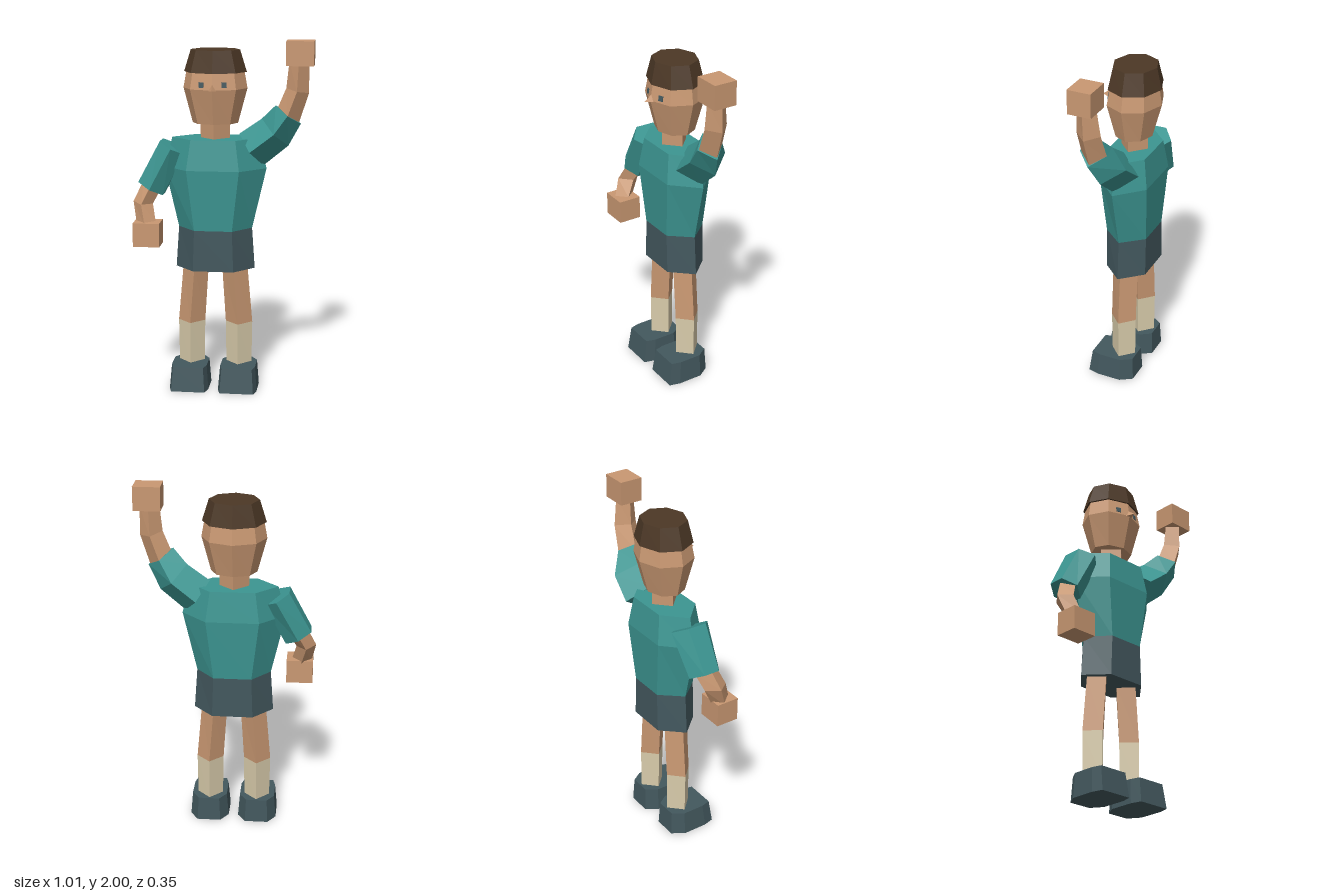
import * as THREE from 'three';
import { ConvexGeometry } from 'three/addons/geometries/ConvexGeometry.js';

// Unit cross-sections, as [across, depth] going from +x towards +z
const DIAMOND = [[1, 0], [0, 1], [-1, 0], [0, -1]];
const HEXAGON = [[1, 0], [0.51, 1], [-0.51, 1], [-1, 0], [-0.51, -1], [0.51, -1]];
const SLEEVE = [[1, 0.48], [0, 1], [-1, 0.48], [-1, -0.48], [0, -1], [1, -0.48]];
const SHOE = [[1, 0.55], [0.86, 1], [-0.86, 1], [-1, 0.55], [-1, -0.5], [-0.6, -1], [0.6, -1], [1, -0.5]];
const OCTAGON = Array.from({ length: 8 }, (_, i) => [Math.cos(i * Math.PI / 4), Math.sin(i * Math.PI / 4)]);

// Capped loft through stations [x, y, z, halfWidth, halfDepth];
// with bend, the rings turn to follow the path in the xy plane
function loft(profile, stations, bend = false) {
  const rings = stations.map(([x, y, z, w, d], i) => {
    const a = stations[Math.max(i - 1, 0)], b = stations[Math.min(i + 1, stations.length - 1)];
    const t = bend ? new THREE.Vector2(b[0] - a[0], b[1] - a[1]).normalize() : new THREE.Vector2(0, 1);
    return profile.map(([u, v]) => new THREE.Vector3(x + u * w * t.y, y - u * w * t.x, z + v * d));
  });
  const n = profile.length, pts = [];
  for (let r = 0; r < rings.length - 1; r++) {
    for (let i = 0; i < n; i++) {
      const j = (i + 1) % n;
      const a = rings[r][i], b = rings[r][j], c = rings[r + 1][j], d = rings[r + 1][i];
      pts.push(a, d, c, a, c, b);
    }
  }
  const first = rings[0], last = rings[rings.length - 1];
  for (let i = 1; i < n - 1; i++) {
    pts.push(first[0], first[i], first[i + 1], last[0], last[i + 1], last[i]);
  }
  const geometry = new THREE.BufferGeometry().setFromPoints(pts);
  geometry.computeVertexNormals();
  return geometry;
}

function material(name, color) {
  const m = new THREE.MeshStandardMaterial({ color, flatShading: true });
  m.name = name;
  return m;
}

export function createModel() {
  const skin = material('skin', 0xc99872);
  const teal = material('teal shirt', 0x3c9591);
  const slate = material('slate cloth', 0x43585e);
  const brown = material('brown hair', 0x4c3826);
  const cream = material('cream sock', 0xd9ccab);

  const model = new THREE.Group();
  model.name = 'wavingFigure';
  const body = new THREE.Group();
  body.name = 'body';
  body.position.x = -0.047;
  model.add(body);

  const add = (parent, name, geometry, mat) => {
    const mesh = new THREE.Mesh(geometry, mat);
    mesh.name = name;
    parent.add(mesh);
    return mesh;
  };

  // Head and hair
  add(body, 'head', loft(OCTAGON, [
    [0, 1.535, -0.018, 0.128, 0.105],
    [0, 1.73, -0.02, 0.18, 0.157],
    [0, 1.83, -0.022, 0.162, 0.14],
  ]), skin);
  add(body, 'hair', loft(OCTAGON, [
    [0, 1.82, -0.022, 0.176, 0.152],
    [0, 1.943, -0.022, 0.138, 0.125],
  ]), brown);
  add(body, 'nose', new ConvexGeometry([
    new THREE.Vector3(0, 1.772, 0.12),
    new THREE.Vector3(-0.025, 1.725, 0.12),
    new THREE.Vector3(0.025, 1.725, 0.12),
    new THREE.Vector3(0, 1.73, 0.174),
  ]), skin);
  add(body, 'neck', loft(DIAMOND, [
    [0, 1.42, -0.016, 0.083, 0.08],
    [0, 1.55, -0.016, 0.083, 0.08],
  ]), skin);

  // Shirt and skirted shorts
  add(body, 'shirt', loft(HEXAGON, [
    [0, 0.935, -0.016, 0.21, 0.122],
    [0, 1.28, -0.016, 0.29, 0.142],
    [0, 1.45, -0.016, 0.245, 0.118],
  ]), teal);
  add(body, 'shorts', loft(HEXAGON, [
    [0, 0.7, -0.016, 0.226, 0.122],
    [0, 0.935, -0.016, 0.21, 0.122],
  ]), slate);

  // Paired parts: eyes, legs, socks, shoes
  for (const [side, s] of [['left', 1], ['right', -1]]) {
    const eye = add(body, side + 'Eye', new THREE.BoxGeometry(0.029, 0.03, 0.008), slate);
    eye.position.set(s * 0.063, 1.757, 0.109);
    eye.rotation.set(-0.14, s * 0.34, 0, 'YXZ');

    add(body, side + 'Leg', loft(DIAMOND, [
      [s * 0.137, 0.38, -0.013, 0.077, 0.077],
      [s * 0.112, 0.71, -0.013, 0.073, 0.077],
    ]), skin);
    add(body, side + 'Sock', loft(DIAMOND, [
      [s * 0.137, 0.12, -0.013, 0.073, 0.074],
      [s * 0.137, 0.38, -0.013, 0.077, 0.077],
    ]), cream);
    add(body, side + 'Shoe', loft(SHOE, [
      [s * 0.14, 0, 0.0325, 0.112, 0.138],
      [s * 0.14, 0.14, 0.026, 0.101, 0.124],
    ]), slate);
  }

  // Raised left arm
  const leftArm = new THREE.Group();
  leftArm.name = 'leftArm';
  model.add(leftArm);
  add(leftArm, 'leftSleeve', loft(DIAMOND, [
    [0.157, 1.385, -0.015, 0.112, 0.12],
    [0.29, 1.487, -0.008, 0.106, 0.115],
    [0.365, 1.592, 0.03, 0.086, 0.08],
  ], true), teal);
  add(leftArm, 'leftForearm', loft(DIAMOND, [
    [0.36, 1.575, 0.025, 0.07, 0.075],
    [0.415, 1.725, 0.03, 0.064, 0.07],
    [0.423, 1.88, 0.035, 0.055, 0.056],
  ], true), skin);
  add(leftArm, 'leftHand', new THREE.BoxGeometry(0.152, 0.135, 0.134), skin)
    .position.set(0.43, 1.9325, 0.036);

  // Lowered right arm
  const rightArm = new THREE.Group();
  rightArm.name = 'rightArm';
  model.add(rightArm);
  add(rightArm, 'rightSleeve', loft(SLEEVE, [
    [-0.41, 1.16, -0.003, 0.079, 0.097],
    [-0.286, 1.395, -0.016, 0.078, 0.117],
  ], true), teal);
  add(rightArm, 'rightForearm', loft(DIAMOND, [
    [-0.428, 0.97, 0.092, 0.055, 0.06],
    [-0.453, 1.08, 0.042, 0.056, 0.07],
    [-0.405, 1.18, 0.005, 0.055, 0.07],
  ], true), skin);
  add(rightArm, 'rightHand', new THREE.BoxGeometry(0.15, 0.135, 0.134), skin)
    .position.set(-0.418, 0.916, 0.101);

  return model;
}
